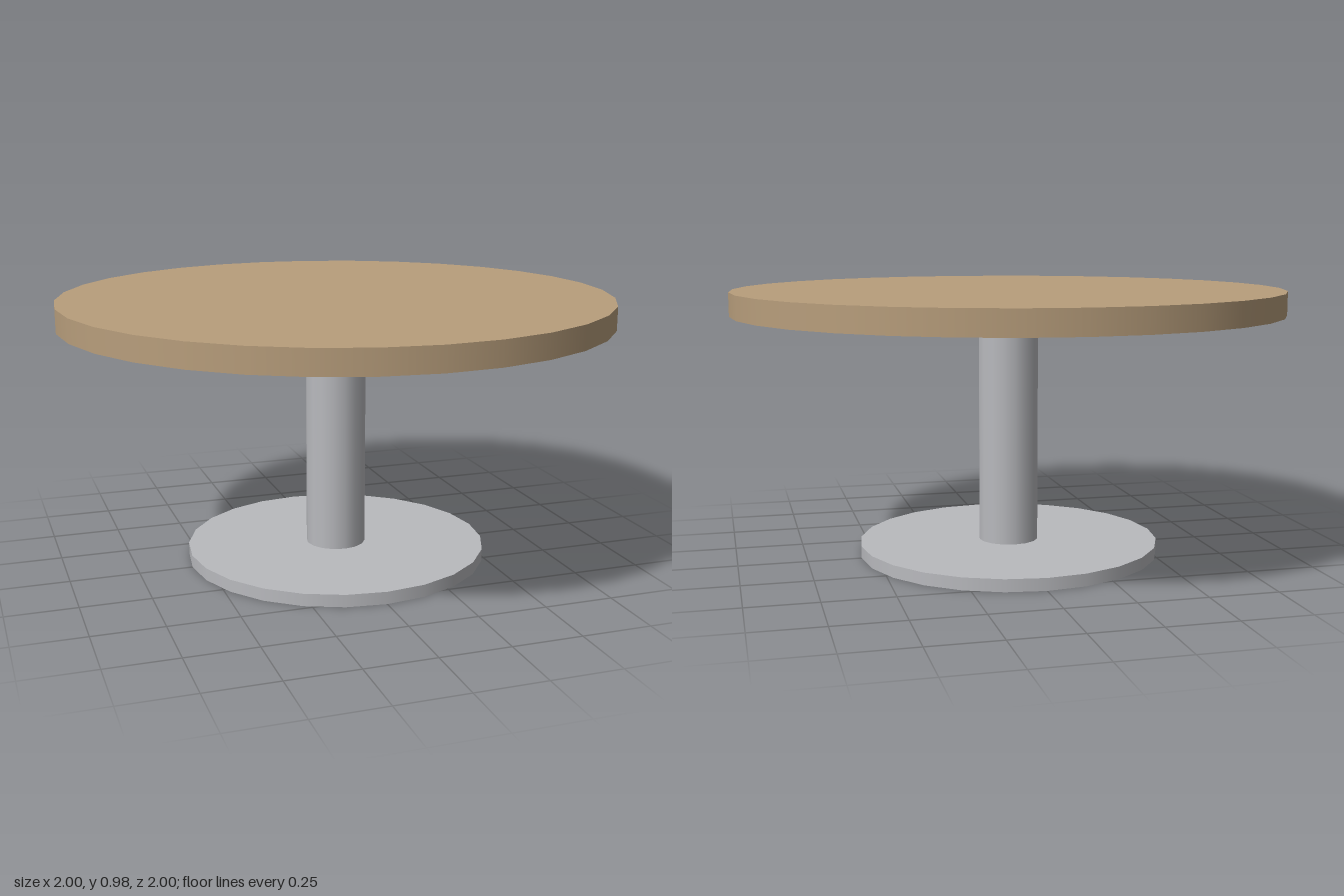
import * as THREE from 'three';

export function createModel() {
  const group = new THREE.Group();
  group.name = 'roundPedestalTable';

  const wood = new THREE.MeshStandardMaterial({ color: 0xb89e7c });
  wood.name = 'tan wood';
  const metal = new THREE.MeshStandardMaterial({ color: 0xb9babe });
  metal.name = 'light grey metal';

  // Upright disc or post between two heights
  function addDisc(name, radius, bottom, top, sides, material) {
    const mesh = new THREE.Mesh(
      new THREE.CylinderGeometry(radius, radius, top - bottom, sides), material);
    mesh.name = name;
    mesh.position.y = (bottom + top) / 2;
    group.add(mesh);
  }

  addDisc('base', 0.555, 0, 0.045, 24, metal);
  addDisc('column', 0.11, 0.045, 0.895, 16, metal);
  addDisc('tabletop', 1, 0.895, 0.98, 32, wood);

  return group;
}
